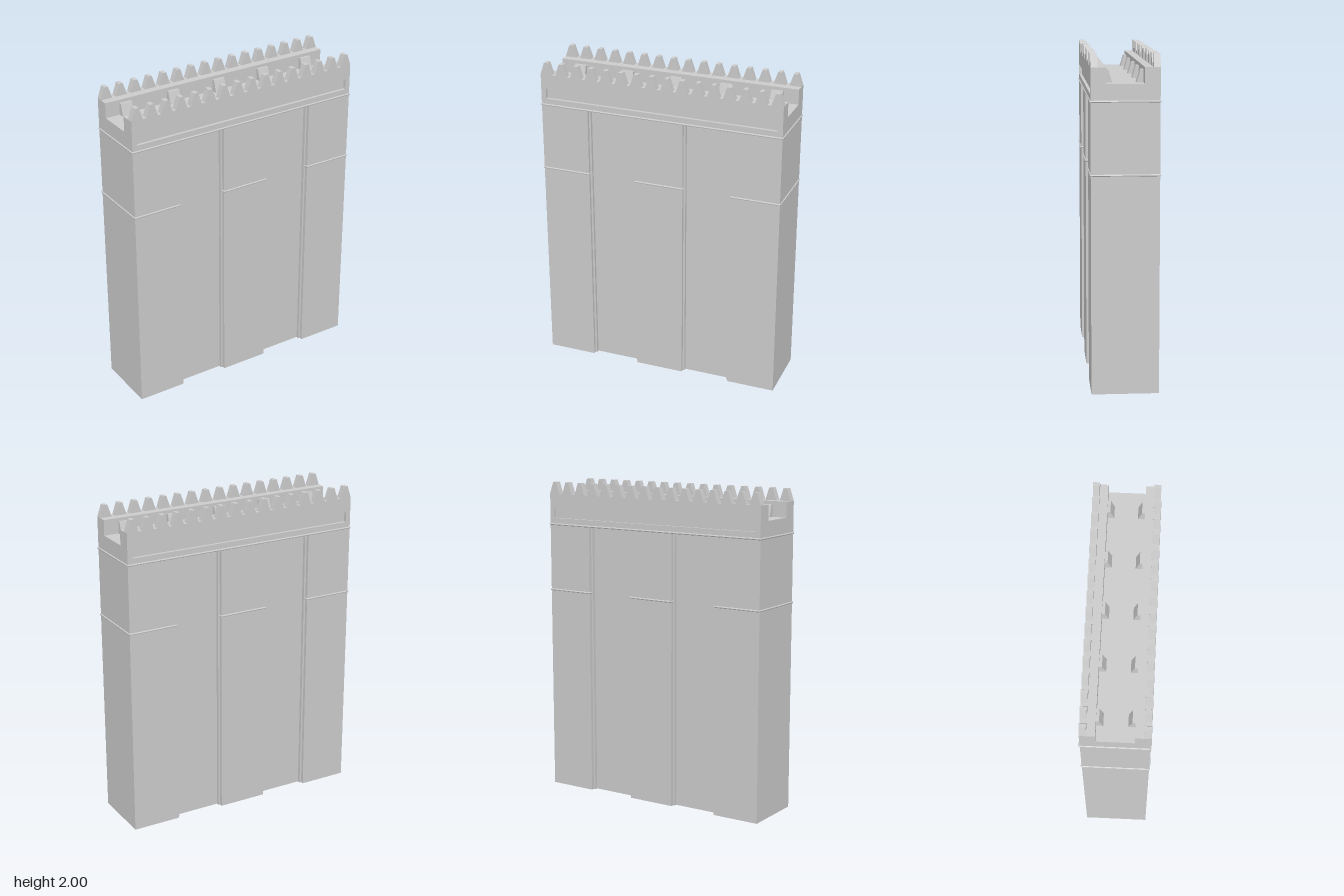
import * as THREE from 'three';

const mat = new THREE.MeshStandardMaterial({ color: 0xcccccc, flatShading: true, side: THREE.DoubleSide });
const W = 0.775, D = 0.2;            // half width, half depth
const COURSE = 1.73, LEDGE = 1.925, TOP = 2, FLOOR = 1.83;
const STEP = 0.02, LIP = 0.012;      // recess step depth and width
const IN = 0.155, OUT = 0.467;       // recess edges

function add(parent, name, geometry) {
  const mesh = new THREE.Mesh(geometry, mat);
  mesh.name = name;
  parent.add(mesh);
  return mesh;
}

function shapeOf(points) {
  return new THREE.Shape(points.map(([x, y]) => new THREE.Vector2(x, y)));
}

function extrude(shape, depth) {
  return new THREE.ExtrudeGeometry(shape, { depth, bevelEnabled: false });
}

// Plan of one long side, walking from +x to -x at the given side
function sidePlan() {
  const a = D, b = D - STEP, c = D - 2 * STEP;
  const recess = (x0, x1) => [[x0, a], [x0, b], [x0 - LIP, b], [x0 - LIP, c],
    [x1 + LIP, c], [x1 + LIP, b], [x1, b], [x1, a]];
  return [[W, a], ...recess(OUT, IN), ...recess(-IN, -OUT), [-W, a]];
}

// Open-bottomed wall swept straight up from a closed plan
function wallGeometry(plan, height) {
  const pos = [];
  plan.forEach(([x0, z0], i) => {
    const [x1, z1] = plan[(i + 1) % plan.length];
    pos.push(x0, 0, z0, x1, height, z1, x1, 0, z1);
    pos.push(x0, 0, z0, x0, height, z0, x1, height, z1);
  });
  const g = new THREE.BufferGeometry();
  g.setAttribute('position', new THREE.Float32BufferAttribute(pos, 3));
  g.computeVertexNormals();
  return g;
}

// Thin rounded moulding following a path in plan
function moulding(parent, name, path, y) {
  const r = 0.006;
  const group = new THREE.Group();
  group.name = name;
  for (let i = 0; i < path.length - 1; i++) {
    const a = new THREE.Vector3(path[i][0], y, path[i][1]);
    const b = new THREE.Vector3(path[i + 1][0], y, path[i + 1][1]);
    const dir = b.clone().sub(a);
    const bar = add(group, name + 'Bar', new THREE.CylinderGeometry(r, r, dir.length() + r, 8));
    bar.position.copy(a).add(b).multiplyScalar(0.5);
    bar.quaternion.setFromUnitVectors(new THREE.Vector3(0, 1, 0), dir.normalize());
  }
  parent.add(group);
}

// Parapet outline with a row of blunt teeth
function parapetShape() {
  const n = 16, pitch = 0.0983, pts = [[-W, COURSE], [W, COURSE]];
  for (let i = n - 1; i >= 0; i--) {
    const x = (i - (n - 1) / 2) * pitch;
    pts.push([x + 0.0377, LEDGE], [x + 0.012, TOP], [x - 0.012, TOP], [x - 0.0377, LEDGE]);
  }
  return shapeOf(pts);
}

function parapet(name) {
  const group = new THREE.Group();
  group.name = name;
  const groove = 0.018;
  add(group, 'parapetBacking', extrude(parapetShape(), 0.04 - groove)).position.z = 0.16;
  // outer skin with the long sunken panel
  const skin = parapetShape();
  const px = 0.743, y0 = 1.77, y1 = 1.835;
  skin.holes.push(new THREE.Path([[-px, y0], [-px, y1], [px, y1], [px, y0]]
    .map(([x, y]) => new THREE.Vector2(x, y))));
  add(group, 'parapetFace', extrude(skin, groove)).position.z = D - groove;
  // sloped blocks standing on the walkway
  const profile = shapeOf([[-0.11, FLOOR], [-0.07, FLOOR], [-0.093, 1.905], [-0.11, 1.905]]);
  for (let i = -2; i <= 2; i++) {
    const block = add(group, 'walkwayBlock', extrude(profile, 0.075));
    block.rotation.y = Math.PI / 2;
    block.position.x = i * 0.322 - 0.0375;
  }
  return group;
}

export function createModel() {
  const model = new THREE.Group();
  model.name = 'wallSection';

  // Lower wall with two stepped recesses on each long side
  const front = sidePlan();
  const back = front.map(([x, z]) => [-x, -z]);
  add(model, 'lowerWall', wallGeometry([...front, ...back], COURSE));

  // Walkway trough and its side ledges
  const trough = shapeOf([[-0.16, COURSE], [0.16, COURSE], [0.16, LEDGE], [0.11, LEDGE],
    [0.11, FLOOR], [-0.11, FLOOR], [-0.11, LEDGE], [-0.16, LEDGE]]);
  const walkway = add(model, 'walkway', extrude(trough, 2 * W));
  walkway.rotation.y = Math.PI / 2;
  walkway.position.x = -W;

  // Toothed parapets, front and back
  model.add(parapet('frontParapet'));
  const rear = parapet('backParapet');
  rear.rotation.y = Math.PI;
  model.add(rear);

  // Upper moulding all round, lower one on the piers only
  moulding(model, 'upperMoulding', [[W, D], [-W, D], [-W, -D], [W, -D], [W, D]], COURSE);
  const inner = D - STEP;
  for (const s of [1, -1]) {
    moulding(model, 'endPierMoulding', [[s * OUT, inner], [s * OUT, D], [s * W, D],
      [s * W, -D], [s * OUT, -D], [s * OUT, -inner]], 1.305);
    moulding(model, 'middlePierMoulding', [[-IN, s * inner], [-IN, s * D], [IN, s * D],
      [IN, s * inner]], 1.305);
  }
  return model;
}
